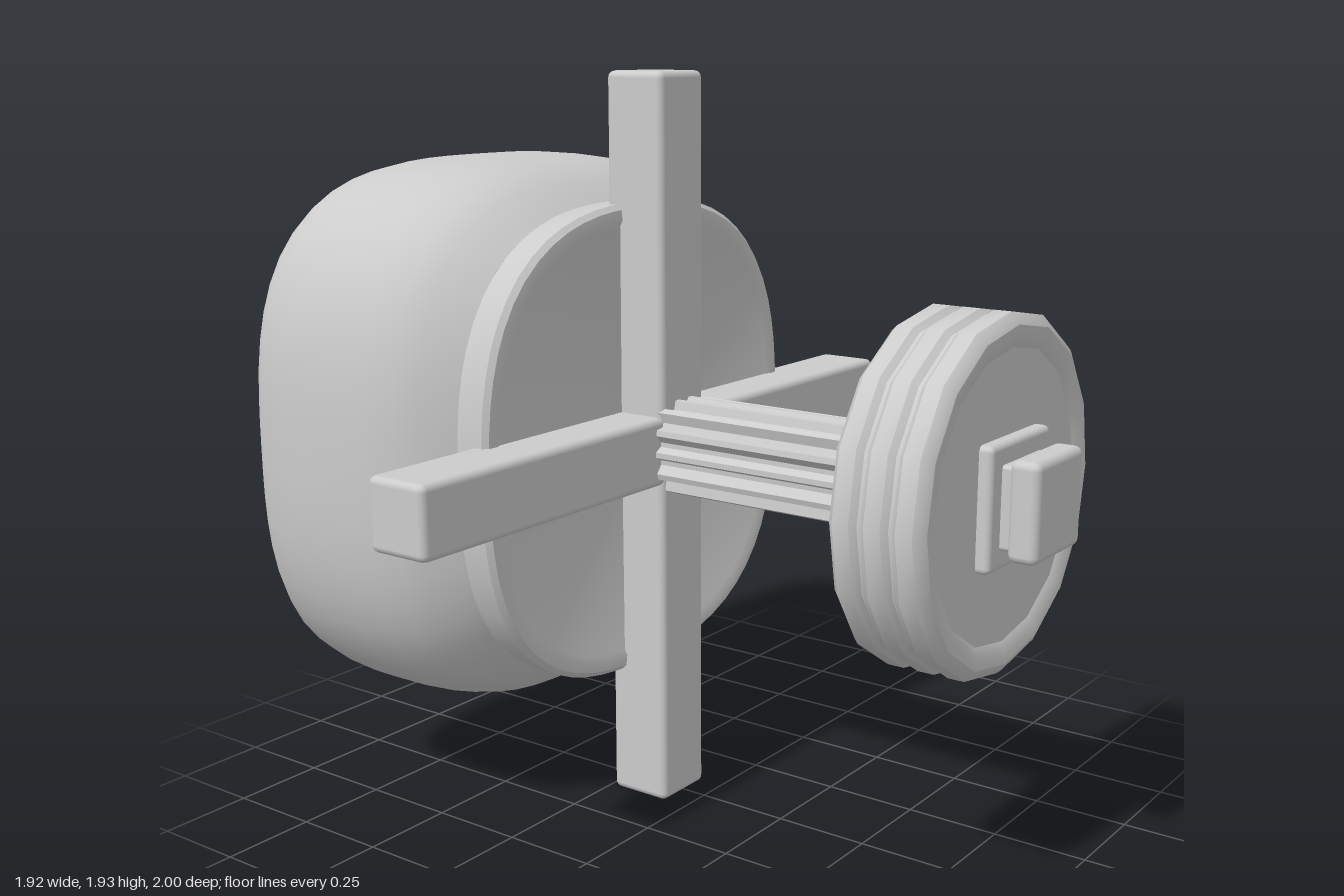
import * as THREE from 'three';
import { toCreasedNormals } from 'three/addons/utils/BufferGeometryUtils.js';
import { RoundedBoxGeometry } from 'three/addons/geometries/RoundedBoxGeometry.js';

const CY = 0.975; // height of the main axis
const material = new THREE.MeshStandardMaterial({ color: 0xcccccc });

// Turned form along z, listed back to front as [radius, z].
// The exponent squares off the round section (2 = circle).
function squircleTurn(profile, exponent, segments, crease = 0.6) {
  const geo = new THREE.LatheGeometry(profile.map(([r, z]) => new THREE.Vector2(r, z)), segments);
  geo.rotateX(Math.PI / 2);
  const pos = geo.attributes.position;
  for (let i = 0; i < pos.count; i++) {
    const x = pos.getX(i), y = pos.getY(i), r = Math.hypot(x, y);
    if (r < 1e-6) continue;
    const k = Math.pow(Math.abs(x / r) ** exponent + Math.abs(y / r) ** exponent, -1 / exponent);
    pos.setXY(i, x * k, y * k);
  }
  return toCreasedNormals(geo, crease);
}

export function createModel() {
  const model = new THREE.Group();
  const add = (name, geo, x = 0, y = CY, z = 0) => {
    const mesh = new THREE.Mesh(geo, material);
    mesh.name = name;
    mesh.position.set(x, y, z);
    model.add(mesh);
    return mesh;
  };
  const block = (name, w, h, z0, z1, radius, x = 0, y = CY) =>
    add(name, new RoundedBoxGeometry(w, h, z1 - z0, 2, radius), x, y, (z0 + z1) / 2);

  // Large cushion-shaped body at the back
  add('body', squircleTurn([
    [0, -1], [0.3, -0.998], [0.5, -0.992], [0.59, -0.98], [0.645, -0.955], [0.68, -0.925],
    [0.7, -0.89], [0.715, -0.82], [0.723, -0.72], [0.722, -0.6], [0.715, -0.5], [0.698, -0.42],
    [0.665, -0.36], [0.625, -0.31], [0.6, -0.28], [0, -0.27],
  ], 2.95, 64), 0, 0.98);

  // Mounting plate with a narrow raised rim
  add('mountingPlate', squircleTurn([
    [0, -0.29], [0.605, -0.29], [0.622, -0.28], [0.625, -0.2], [0.612, -0.187], [0.585, -0.184],
    [0.57, -0.192], [0, -0.194],
  ], 2.6, 64));

  // Crossed arms
  block('verticalArm', 0.18, 1.93, -0.235, -0.06, 0.018, -0.008, 0.965);
  block('horizontalArm', 1.92, 0.18, -0.235, -0.062, 0.018, 0, 0.97);

  // Fluted shaft
  const ribs = 14, flutes = new THREE.Shape();
  for (let i = 0; i < ribs * 4; i++) {
    const a = (i / (ribs * 4)) * Math.PI * 2;
    const k = Math.pow(Math.abs(Math.cos(a)) ** 3 + Math.abs(Math.sin(a)) ** 3, -1 / 3);
    const r = (i % 4 < 2 ? 0.124 : 0.104) * k;
    const x = r * Math.cos(a), y = r * Math.sin(a);
    if (i) flutes.lineTo(x, y); else flutes.moveTo(x, y);
  }
  flutes.closePath();
  add('shaft', new THREE.ExtrudeGeometry(flutes, { depth: 0.72, bevelEnabled: false }), 0, CY, -0.08);
  block('rearCollar', 0.27, 0.27, 0.608, 0.66, 0.012);

  // Wheel: three stacked bands with a shallow dish on both faces
  const wheel = [[0, 0.655], [0.35, 0.655], [0.37, 0.642], [0.405, 0.637]];
  for (let i = 0; i < 3; i++) {
    const z = 0.64 + i * 0.079;
    wheel.push([0.42, z + 0.004], [0.433, z + 0.018], [0.433, z + 0.06], [0.42, z + 0.074]);
  }
  wheel.push([0.405, 0.88], [0.37, 0.876], [0.352, 0.866], [0, 0.866]);
  add('wheel', squircleTurn(wheel, 2.1, 16, 0.5));

  // Square hub, neck and end cap
  block('hubBase', 0.3, 0.3, 0.85, 0.9, 0.015);
  block('hubNeck', 0.2, 0.2, 0.88, 0.95, 0.01);
  block('hubCap', 0.24, 0.24, 0.925, 1.0, 0.02);

  return model;
}
